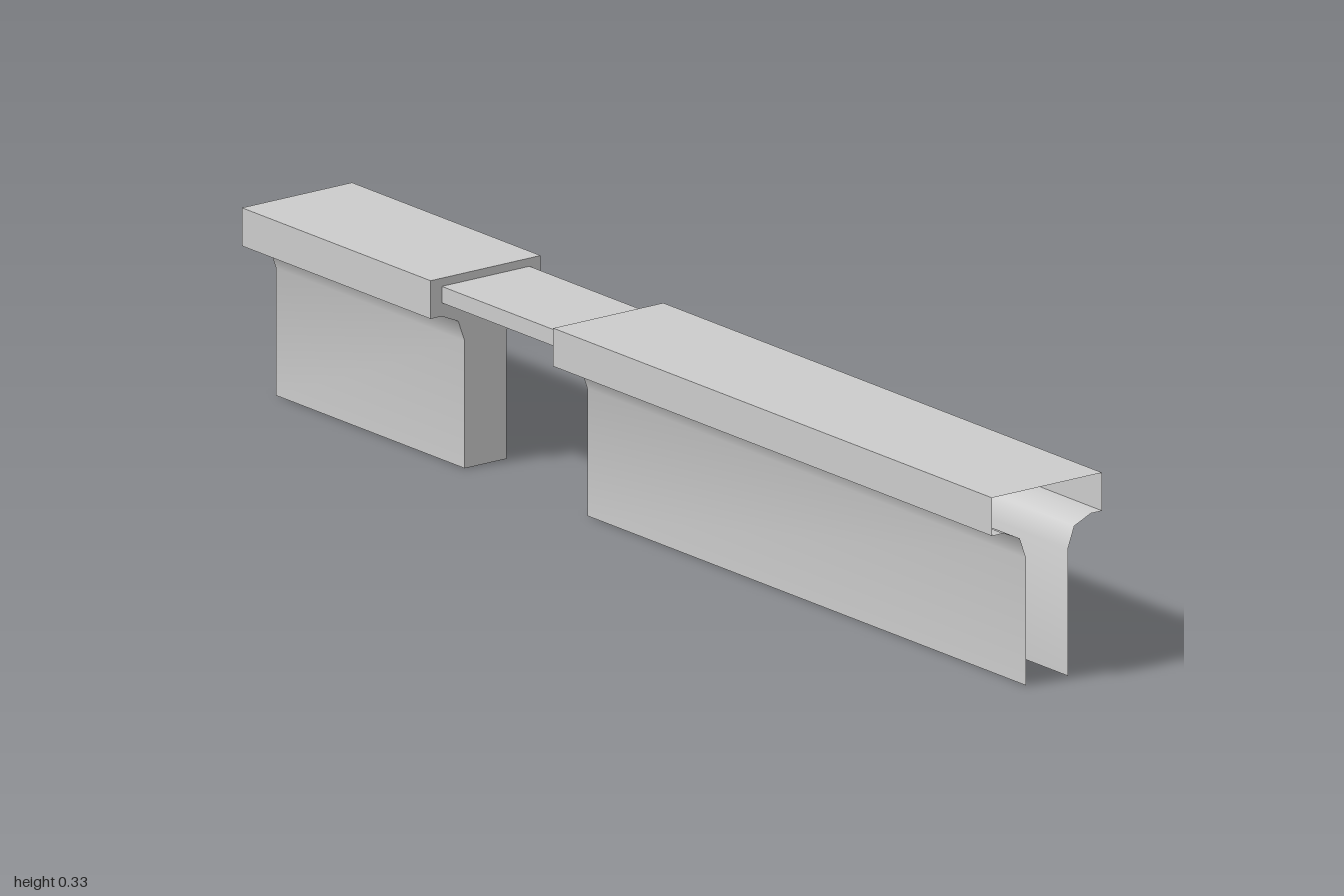
import * as THREE from 'three';
import { toCreasedNormals } from 'three/addons/utils/BufferGeometryUtils.js';

const material = new THREE.MeshStandardMaterial({ color: 0xcccccc, side: THREE.DoubleSide });

// T-shaped cross-section as [z, y]: up the front, over the top, down the back
const half = [[0.043, 0], [0.043, 0.217], [0.056, 0.253], [0.09, 0.268], [0.113, 0.268], [0.113, 0.333]];
const profile = [...half, ...half.map(([z, y]) => [-z, y]).reverse()];

function addMesh(parent, name, geometry) {
  const mesh = new THREE.Mesh(geometry, material);
  mesh.name = name;
  parent.add(mesh);
  return mesh;
}

// Thin sheet swept along x, open below and at both ends
function shellGeometry(x0, x1) {
  const positions = [];
  for (let i = 0; i < profile.length - 1; i++) {
    const [z0, y0] = profile[i];
    const [z1, y1] = profile[i + 1];
    const a = [x0, y0, z0], b = [x1, y0, z0], c = [x1, y1, z1], d = [x0, y1, z1];
    positions.push(...a, ...b, ...c, ...a, ...c, ...d);
  }
  const geometry = new THREE.BufferGeometry();
  geometry.setAttribute('position', new THREE.Float32BufferAttribute(positions, 3));
  return toCreasedNormals(geometry, THREE.MathUtils.degToRad(50));
}

// Hollow T-section with a single end plate on its inner end
function makeSection(name, outerX, innerX) {
  const section = new THREE.Group();
  section.name = name;
  addMesh(section, 'shell', shellGeometry(Math.min(outerX, innerX), Math.max(outerX, innerX)));
  const shape = new THREE.Shape(profile.map(([z, y]) => new THREE.Vector2(z, y)));
  const plate = addMesh(section, 'endPlate', new THREE.ShapeGeometry(shape));
  plate.rotation.y = Math.sign(innerX - outerX) * Math.PI / 2;
  plate.position.x = innerX;
  return section;
}

export function createModel() {
  const model = new THREE.Group();
  model.name = 'splitBeam';
  const shortInner = -0.497, longInner = -0.17;
  model.add(makeSection('shortSection', -1, shortInner));
  model.add(makeSection('longSection', 1, longInner));

  // Flat bar joining the two sections near the top
  const bar = addMesh(model, 'connectingBar', new THREE.BoxGeometry(longInner - shortInner, 0.028, 0.18));
  bar.position.set((longInner + shortInner) / 2, 0.305, 0);
  return model;
}
